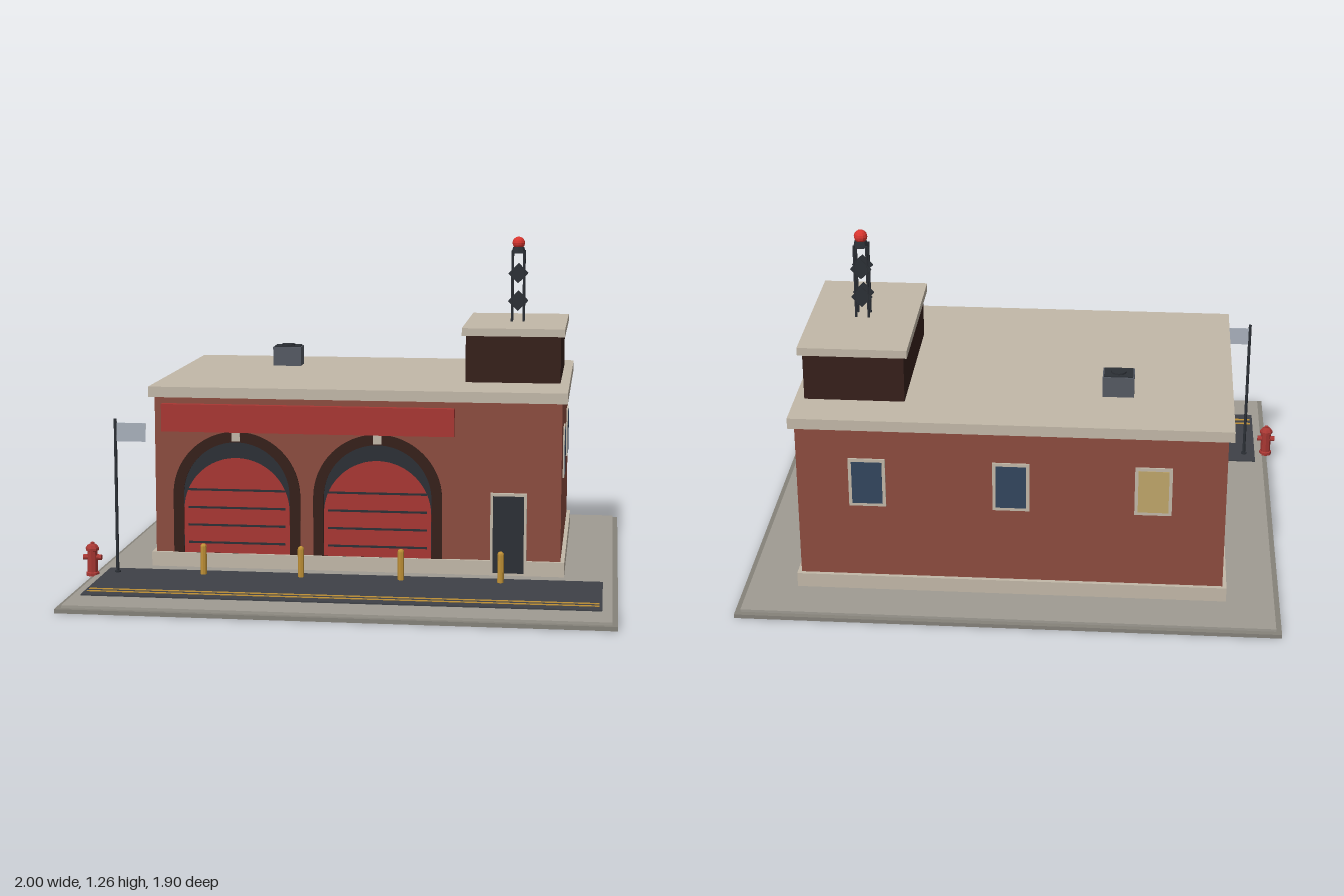
import * as THREE from 'three';

const mat = (color) => new THREE.MeshStandardMaterial({ color, flatShading: true });
const M = {
  brick: mat(0x8c4c3f), darkBrick: mat(0x36201b), stone: mat(0xc2b8a8), paving: mat(0x9f9b92),
  kerb: mat(0x85827a), asphalt: mat(0x3e4147), yellow: mat(0xbf9036), red: mat(0xa83733),
  slate: mat(0x2c3036), metal: mat(0x555a63), glass: mat(0x33465e), lit: mat(0xbfa66a),
  lamp: mat(0xd8352f), flag: mat(0xa9b1bc),
};
M.flag.side = THREE.DoubleSide;

export function createModel() {
  const root = new THREE.Group();

  const add = (name, geo, material, x = 0, y = 0, z = 0, parent = root) => {
    const mesh = new THREE.Mesh(geo, material);
    mesh.name = name;
    mesh.position.set(x, y, z);
    parent.add(mesh);
    return mesh;
  };
  // box given by its extents
  const box = (name, material, x0, x1, y0, y1, z0, z1, parent = root) =>
    add(name, new THREE.BoxGeometry(x1 - x0, y1 - y0, z1 - z0), material,
      (x0 + x1) / 2, (y0 + y1) / 2, (z0 + z1) / 2, parent);
  const rod = (name, material, r, x, y0, y1, z, sides = 8, parent = root) =>
    add(name, new THREE.CylinderGeometry(r, r, y1 - y0, sides), material, x, (y0 + y1) / 2, z, parent);
  const group = (name, x = 0, y = 0, z = 0) => {
    const g = new THREE.Group();
    g.name = name;
    g.position.set(x, y, z);
    root.add(g);
    return g;
  };

  // ground and road
  box('groundKerb', M.kerb, -0.97, 1, 0, 0.015, -0.95, 0.95);
  box('groundPaving', M.paving, -0.95, 0.98, 0.015, 0.025, -0.93, 0.93);
  box('road', M.asphalt, -0.92, 0.945, 0.02, 0.03, 0.35, 0.78);
  for (const z of [0.692, 0.728]) box('roadLine', M.yellow, -0.91, 0.935, 0.028, 0.032, z - 0.006, z + 0.006);

  // main building
  box('plinth', M.stone, -0.775, 0.8, 0.025, 0.08, -0.755, 0.275);
  box('walls', M.brick, -0.76, 0.785, 0.08, 0.68, -0.74, 0.26);
  box('roofSlab', M.stone, -0.78, 0.805, 0.68, 0.72, -0.765, 0.28);
  box('signBoard', M.red, -0.73, 0.385, 0.55, 0.655, 0.258, 0.288);

  // rooftop tower room
  box('towerWalls', M.darkBrick, 0.405, 0.77, 0.72, 0.9, -0.6, 0);
  box('towerRoof', M.stone, 0.39, 0.785, 0.9, 0.93, -0.62, 0.01);

  // round-topped outline standing on y = 0.08
  const archPath = (path, r, spring) => {
    path.moveTo(-r, 0.08);
    path.lineTo(r, 0.08);
    path.lineTo(r, spring);
    path.absarc(0, spring, r, 0, Math.PI, false);
    path.lineTo(-r, 0.08);
    return path;
  };
  const slab = (shape, depth) =>
    new THREE.ExtrudeGeometry(shape, { depth, bevelEnabled: false, curveSegments: 20 });

  // arched garage bays
  for (const x of [-0.445, 0.095]) {
    const bay = group('garageBay', x, 0, 0);
    const ring = archPath(new THREE.Shape(), 0.245, 0.305);
    ring.holes.push(archPath(new THREE.Path(), 0.205, 0.305));
    add('archSurround', slab(ring, 0.016), M.darkBrick, 0, 0, 0.25, bay);
    add('archPanel', slab(archPath(new THREE.Shape(), 0.206, 0.305), 0.011), M.slate, 0, 0, 0.25, bay);
    add('garageDoor', slab(archPath(new THREE.Shape(), 0.204, 0.245), 0.013), M.red, 0, 0, 0.25, bay);
    for (const y of [0.12, 0.188, 0.256, 0.325])
      box('doorGroove', M.slate, -0.188, 0.188, y - 0.004, y + 0.004, 0.25, 0.265, bay);
    box('keystone', M.stone, -0.016, 0.016, 0.515, 0.553, 0.25, 0.275, bay);
  }

  // side entrance
  box('entranceFrame', M.stone, 0.522, 0.658, 0.03, 0.338, 0.25, 0.277);
  box('entranceDoor', M.slate, 0.532, 0.648, 0.035, 0.328, 0.25, 0.28);

  // windows, turned to face outwards
  const addWindow = (x, z, turn, pane) => {
    const w = group('window', x, 0.4625, z);
    w.rotation.y = turn;
    add('windowFrame', new THREE.BoxGeometry(0.134, 0.19, 0.012), M.stone, 0, 0, 0, w);
    add('windowPane', new THREE.BoxGeometry(0.11, 0.166, 0.016), pane, 0, 0, 0, w);
  };
  for (const z of [0.01, -0.49]) {
    addWindow(0.785, z, Math.PI / 2, M.glass);
    addWindow(-0.76, z, -Math.PI / 2, M.glass);
  }
  [0.53, 0.01, -0.5].forEach((x, i) => addWindow(x, -0.74, Math.PI, i === 2 ? M.lit : M.glass));

  // rooftop vent unit
  box('ventUnit', M.metal, -0.42, -0.305, 0.72, 0.797, -0.51, -0.425);
  box('ventLid', M.slate, -0.415, -0.31, 0.795, 0.801, -0.505, -0.43);
  rod('ventFan', M.slate, 0.028, -0.3625, 0.8, 0.807, -0.4675, 12);

  // signal mast with plates and lamp
  const mast = group('mast', 0.59, 0, -0.305);
  for (const sx of [-1, 1])
    for (const sz of [-1, 1])
      rod('mastPost', M.slate, 0.005, sx * 0.023, 0.93, 1.21, sz * 0.023, 6, mast);
  for (const y of [1.01, 1.12])
    for (const z of [-0.023, 0.023]) {
      const plate = add('mastBrace', new THREE.BoxGeometry(0.055, 0.055, 0.008), M.slate, 0, y, z, mast);
      plate.rotation.z = Math.PI / 4;
    }
  add('lampBase', new THREE.CylinderGeometry(0.022, 0.028, 0.024, 8), M.slate, 0, 1.212, 0, mast);
  add('lamp', new THREE.SphereGeometry(0.025, 12, 8), M.lamp, 0, 1.24, 0, mast);

  // flagpole
  rod('flagpole', M.slate, 0.006, -0.875, 0.025, 0.615, 0.415);
  rod('flagpoleFoot', M.slate, 0.012, -0.875, 0.025, 0.035, 0.415);
  box('flag', M.flag, -0.872, -0.76, 0.53, 0.6, 0.413, 0.417);

  // bollards
  for (const x of [-0.545, -0.175, 0.2, 0.57]) {
    rod('bollard', M.yellow, 0.012, x, 0.025, 0.135, 0.41);
    add('bollardCap', new THREE.SphereGeometry(0.012, 8, 4, 0, Math.PI * 2, 0, Math.PI / 2), M.yellow, x, 0.135, 0.41);
  }

  // hydrant
  const hydrant = group('hydrant', -0.965, 0.02, 0.44);
  const profile = [[0, 0], [0.025, 0], [0.025, 0.012], [0.02, 0.015], [0.02, 0.095], [0.026, 0.097],
    [0.026, 0.106], [0.019, 0.116], [0.008, 0.122], [0.008, 0.127], [0, 0.127]];
  add('hydrantBody', new THREE.LatheGeometry(profile.map((p) => new THREE.Vector2(...p)), 8), M.red, 0, 0, 0, hydrant);
  const arms = add('hydrantArms', new THREE.CylinderGeometry(0.011, 0.011, 0.07, 8), M.red, 0, 0.07, 0, hydrant);
  arms.rotation.z = Math.PI / 2;

  return root;
}
